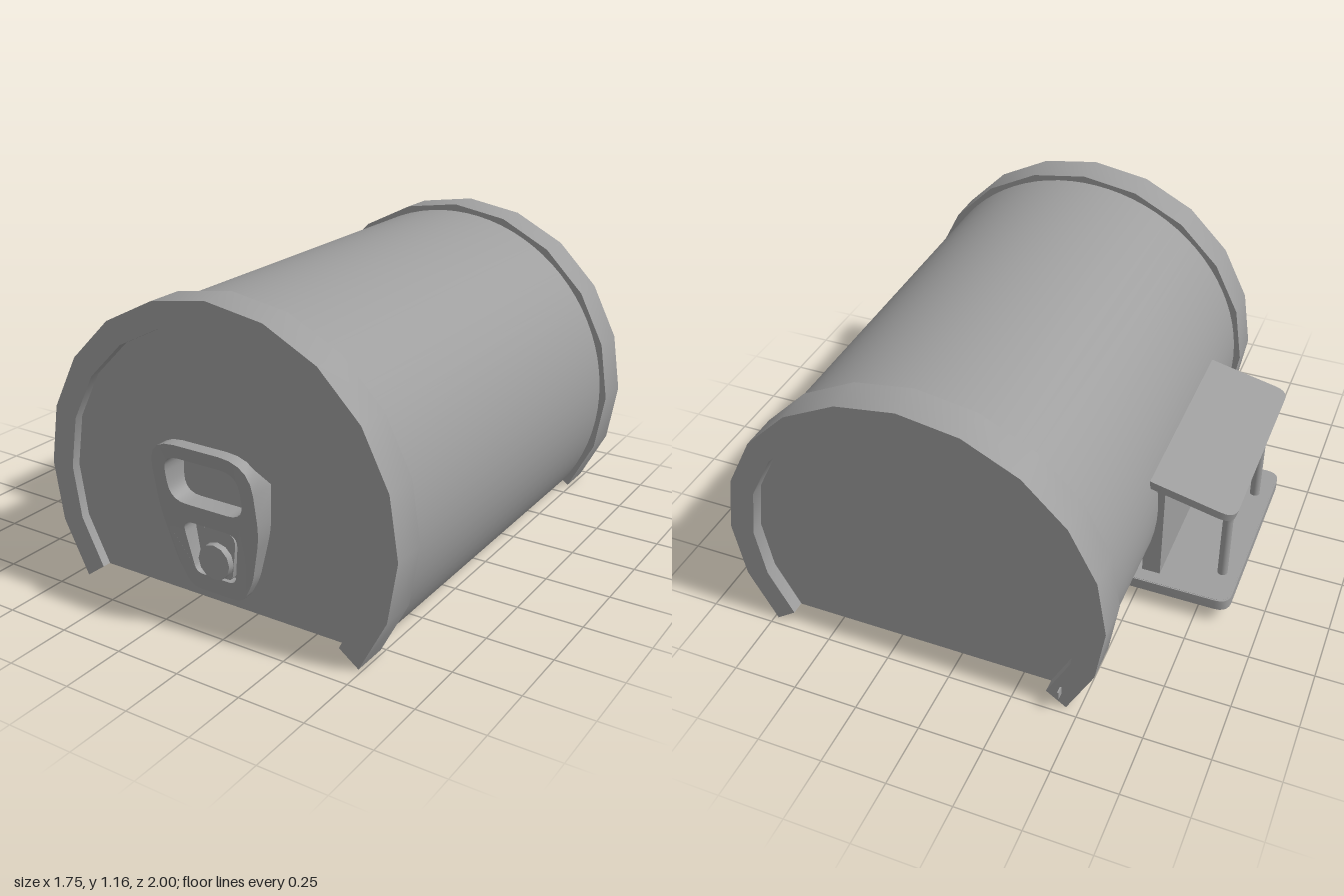
import * as THREE from 'three';
import { toCreasedNormals } from 'three/addons/utils/BufferGeometryUtils.js';

const CX = 0.142, CY = 0.433;          // barrel axis
const START = -Math.PI / 5, STEP = Math.PI / 10, SEGS = 14;
const GREY = 0x9e9e9e;
const mat = new THREE.MeshStandardMaterial({ color: GREY });
const sheet = new THREE.MeshStandardMaterial({ color: GREY, side: THREE.DoubleSide });

function add(parent, name, geo, x = 0, y = 0, z = 0, m = mat) {
  const mesh = new THREE.Mesh(geo, m);
  mesh.name = name;
  mesh.position.set(x, y, z);
  parent.add(mesh);
  return mesh;
}

// Points of the open 20-sided arch
function arch(r) {
  const pts = [];
  for (let i = 0; i <= SEGS; i++) {
    const a = START + i * STEP;
    pts.push(new THREE.Vector2(r * Math.cos(a), r * Math.sin(a)));
  }
  return pts;
}

function extrude(shape, depth) {
  const g = new THREE.ExtrudeGeometry(shape, { depth, bevelEnabled: false, curveSegments: 5 });
  return toCreasedNormals(g, 0.5);
}

// Closed outline with rounded corners: rows of [x, y, corner radius]
function rounded(rows, Type = THREE.Shape) {
  const s = new Type();
  const n = rows.length;
  rows.forEach(([x, y, r], i) => {
    const p = new THREE.Vector2(x, y);
    const toward = (q) => new THREE.Vector2(q[0], q[1]).sub(p).setLength(r).add(p);
    const a = toward(rows[(i + n - 1) % n]), b = toward(rows[(i + 1) % n]);
    if (i) s.lineTo(a.x, a.y); else s.moveTo(a.x, a.y);
    s.quadraticCurveTo(x, y, b.x, b.y);
  });
  s.closePath();
  return s;
}

// Mirror the right half of an outline across x = 0
const mirror = (half) => [...half, ...half.slice().reverse().map(([x, y, r]) => [-x, y, r])];

// Horizontal board outline with its two outer corners rounded
const board = (x0, x1, w, r, Type) => rounded(
  [[x0, -w / 2, r], [x1, -w / 2, 0.005], [x1, w / 2, 0.005], [x0, w / 2, r]], Type);
const flat = (shape, h) => extrude(shape, h).rotateX(-Math.PI / 2);

export function createModel() {
  const model = new THREE.Group();
  model.name = 'barrelHut';

  // Curved shell, open underneath
  const shell = new THREE.CylinderGeometry(0.704, 0.704, 1.73, SEGS * 4, 1, true,
    Math.PI * 0.3, SEGS * STEP).rotateX(Math.PI / 2);
  add(model, 'shell', shell, CX, CY, -0.035, sheet);

  // End hoops and recessed end walls
  const hoop = extrude(new THREE.Shape([...arch(0.733), ...arch(0.638).reverse()]), 0.143);
  add(model, 'frontHoop', hoop, CX, CY, 0.762);
  add(model, 'backHoop', hoop, CX, CY, -0.972);
  const wall = new THREE.ShapeGeometry(new THREE.Shape(arch(0.64)));
  add(model, 'frontWall', wall, CX, CY, 0.87, sheet);
  add(model, 'backWall', wall, CX, CY, -0.92, sheet);
  add(model, 'backPeg', new THREE.BoxGeometry(0.006, 0.035, 0.05), -0.43, 0.085, -0.975);

  // Leaning pull handle on the front wall
  const latch = new THREE.Group();
  latch.name = 'frontLatch';
  latch.position.x = 0.157;
  model.add(latch);
  const plate = rounded(mirror([[0.11, 0.105, 0.04], [0.16, 0.2, 0.03],
    [0.21, 0.4, 0.06], [0.212, 0.68, 0.12]]));
  plate.holes.push(
    rounded(mirror([[0.157, 0.447, 0.07], [0.157, 0.628, 0.07]]), THREE.Path),
    rounded(mirror([[0.085, 0.17, 0.03], [0.12, 0.375, 0.05]]), THREE.Path));
  const handle = new THREE.ExtrudeGeometry(plate, { depth: 1, bevelEnabled: false, curveSegments: 5 });
  const p = handle.attributes.position;
  for (let i = 0; i < p.count; i++) {
    const y = p.getY(i), t = y - 0.1;
    const front = 0.903 + 0.096 * t + 0.116 * t * t;
    // lower part reaches the wall, the grip stands clear of it
    p.setZ(i, p.getZ(i) > 0.5 ? front : (y < 0.59 ? 0.865 : front - 0.05));
  }
  add(latch, 'handle', toCreasedNormals(handle, 0.5));
  add(latch, 'latchPad', extrude(rounded(mirror([[0.06, 0.17, 0.02], [0.08, 0.35, 0.05]])), 0.03),
    0, 0, 0.865);
  const knob = toCreasedNormals(new THREE.CylinderGeometry(0.066, 0.068, 0.06, 12), 0.6).rotateX(Math.PI / 2);
  add(latch, 'knob', knob, 0, 0.235, 0.89);

  // Side porch
  const porch = new THREE.Group();
  porch.name = 'sidePorch';
  porch.position.z = 0.04;
  model.add(porch);
  const rim = board(-0.878, -0.46, 0.82, 0.055);
  rim.holes.push(board(-0.845, -0.51, 0.76, 0.04, THREE.Path));
  add(porch, 'platformRim', flat(rim, 0.045), 0, 0.064);
  add(porch, 'platformTop', flat(board(-0.872, -0.465, 0.81, 0.055), 0.015), 0, 0.095);
  const roof = add(porch, 'porchRoof', flat(board(-0.163, 0.17, 0.82, 0.055), 0.032), -0.7, 0.546);
  roof.rotation.z = 0.225;

  // Doorway block between platform and roof
  add(porch, 'doorway', new THREE.BoxGeometry(0.072, 0.425, 0.7), -0.55, 0.32, 0);
  add(porch, 'doorLintel', new THREE.BoxGeometry(0.05, 0.03, 0.7), -0.55, 0.54, 0);
  const post = new THREE.LatheGeometry([[0.02, 0], [0.02, 0.27], [0.024, 0.31], [0.04, 0.365],
    [0.038, 0.385], [0.025, 0.425]].map(([r, y]) => new THREE.Vector2(r, y)), 12);
  for (const s of [-1, 1]) add(porch, 'porchPost', post, -0.81, 0.108, s * 0.25, sheet);
  return model;
}
